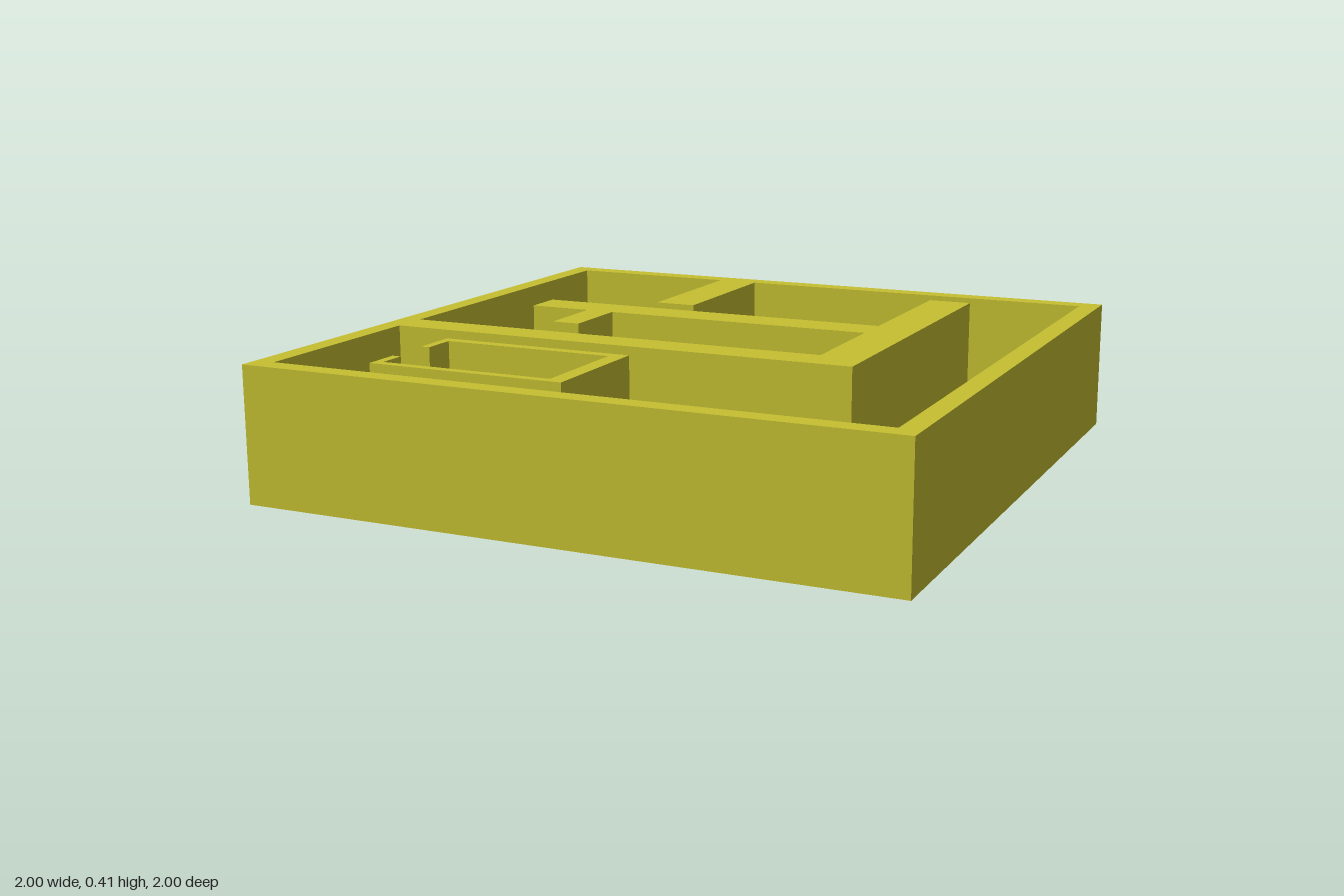
import * as THREE from 'three';

const HEIGHT = 0.414;

// Raise a floor-plan outline of [x, z] corners into a wall, with optional openings.
function wall(name, material, outline, openings = []) {
  const toPlan = ([x, z]) => new THREE.Vector2(x, -z);
  const shape = new THREE.Shape(outline.map(toPlan));
  // Openings wind opposite to the outline so their faces look inward
  for (const opening of openings) shape.holes.push(new THREE.Path(opening.map(toPlan).reverse()));
  const geometry = new THREE.ExtrudeGeometry(shape, { depth: HEIGHT, bevelEnabled: false });
  geometry.rotateX(-Math.PI / 2);
  const mesh = new THREE.Mesh(geometry, material);
  mesh.name = name;
  return mesh;
}

const rect = (x0, z0, x1, z1) => [[x0, z0], [x1, z0], [x1, z1], [x0, z1]];

export function createModel() {
  const olive = new THREE.MeshStandardMaterial({ color: 0xc6c032 });
  olive.name = 'olive yellow';

  const model = new THREE.Group();
  model.name = 'walledFloorPlan';

  model.add(
    // Square enclosure, open above and below
    wall('outerWalls', olive, rect(-1, -1, 1, 1), [rect(-0.937, -0.937, 0.937, 0.937)]),

    // Short wall reaching in from the back
    wall('backStubWall', olive, rect(-0.383, -0.937, -0.248, -0.414)),

    // Branching partition: front arm, tall spine, middle arm and its small stub
    wall('partitionWalls', olive, [
      [-0.937, 0.308], [0.586, 0.308], [0.586, -0.843], [0.445, -0.843],
      [0.445, -0.315], [-0.735, -0.315], [-0.735, -0.187], [-0.53, -0.187],
      [-0.53, 0.045], [-0.437, 0.045], [-0.437, -0.187], [0.445, -0.187],
      [0.445, 0.192], [-0.937, 0.192],
    ]),

    // Freestanding small room with a doorway on its right side
    wall('smallRoomWalls', olive, [
      [-0.683, 0.427], [-0.06, 0.427], [-0.06, 0.832], [-0.683, 0.832],
      [-0.683, 0.717], [-0.655, 0.717], [-0.655, 0.803], [-0.11, 0.803],
      [-0.11, 0.462], [-0.655, 0.462], [-0.655, 0.568], [-0.683, 0.568],
    ]),
  );
  return model;
}
